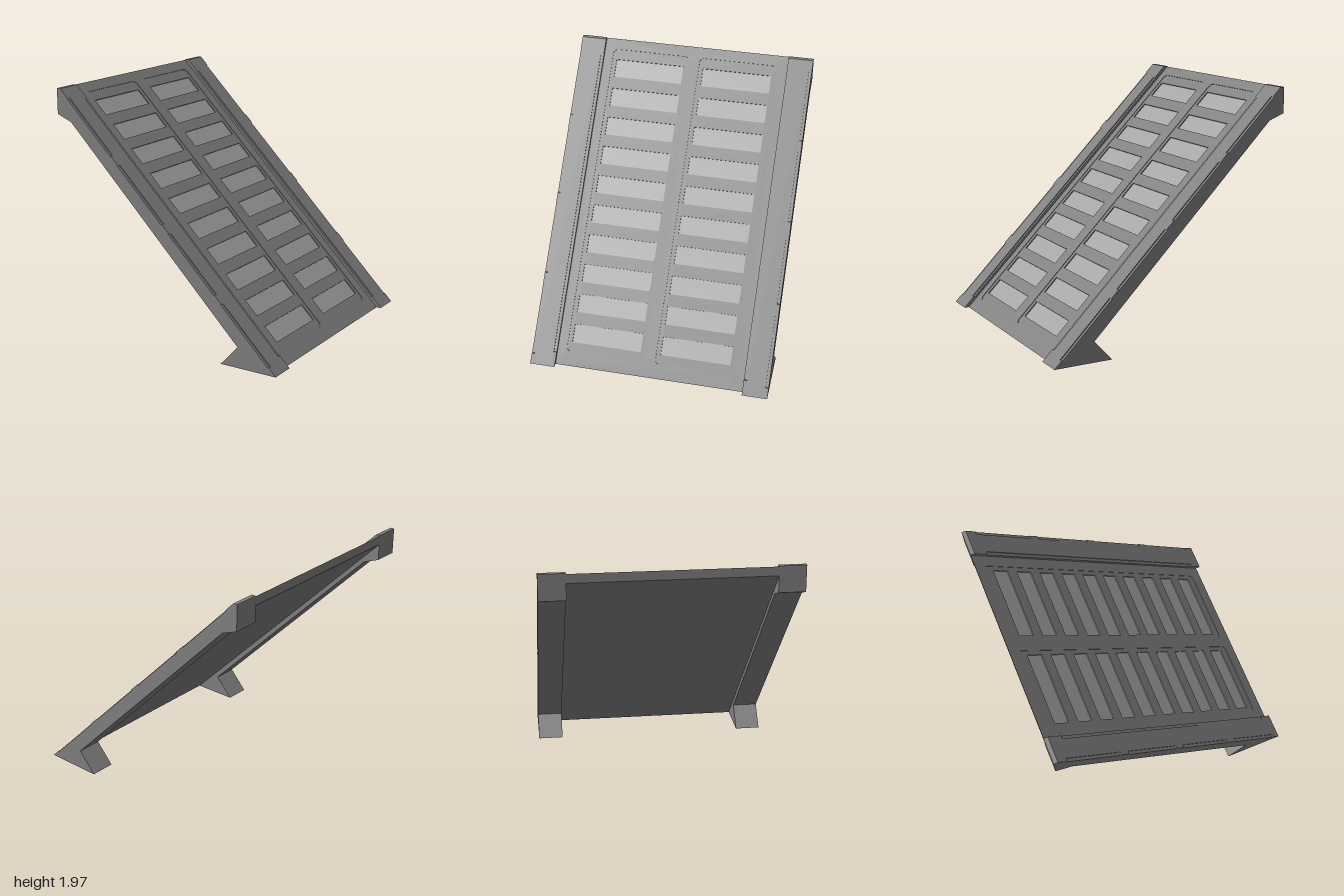
import * as THREE from 'three';

const TOP = 1.965;       // height of the ramp
const EDGE = 0.98;       // outer face of the side beams
const INNER = 0.775;     // joint between beams and deck

const bodyMaterial = new THREE.MeshStandardMaterial({ color: 0x808080, flatShading: true });
const slatMaterial = new THREE.MeshStandardMaterial({ color: 0xa4a4a4, flatShading: true });

// Rectangle, optionally with rounded corners
function rect(x0, y0, x1, y1, r = 0) {
  const shape = new THREE.Shape();
  if (r === 0) {
    return shape.moveTo(x0, y0).lineTo(x1, y0).lineTo(x1, y1).lineTo(x0, y1).closePath();
  }
  const h = Math.PI / 2;
  shape.moveTo(x0 + r, y0);
  shape.absarc(x1 - r, y0 + r, r, -h, 0);
  shape.absarc(x1 - r, y1 - r, r, 0, h);
  shape.absarc(x0 + r, y1 - r, r, h, 2 * h);
  shape.absarc(x0 + r, y0 + r, r, 2 * h, 3 * h);
  return shape.closePath();
}

// Side profile in x/y, extruded from z0 to z1
function profile(name, points, z0, z1) {
  const shape = new THREE.Shape(points.map(([x, y]) => new THREE.Vector2(x, y)));
  const geo = new THREE.ExtrudeGeometry(shape, { depth: z1 - z0, bevelEnabled: false });
  geo.translate(0, 0, z0);
  const mesh = new THREE.Mesh(geo, bodyMaterial);
  mesh.name = name;
  return mesh;
}

// Deck layers are drawn flat (slope distance by width), then laid on the 45 degree slope
const LENGTH = 1.96 * Math.SQRT2;
const slope = new THREE.Matrix4().makeBasis(
  new THREE.Vector3(1, -1, 0).normalize(),
  new THREE.Vector3(0, 0, -1),
  new THREE.Vector3(1, 1, 0).normalize()
).setPosition(-1, 1.96, 0);

function deckLayer(name, shapes, low, high, material) {
  const geo = new THREE.ExtrudeGeometry(shapes, { depth: high - low, bevelEnabled: false, curveSegments: 6 });
  geo.translate(0, 0, low);
  geo.applyMatrix4(slope);
  // slide the end corners along the slope: level at the floor, upright at the top
  const p = geo.attributes.position;
  for (let i = 0; i < p.count; i++) {
    const x = p.getX(i), y = p.getY(i);
    if (y < 0) p.setXY(i, x + y, 0);
    else if (x < -1) p.setXY(i, -1, y + x + 1);
  }
  geo.computeVertexNormals();
  const mesh = new THREE.Mesh(geo, material);
  mesh.name = name;
  return mesh;
}

function sheet(holes) {
  const shape = rect(0, -INNER, LENGTH, INNER);
  shape.holes.push(...holes);
  return shape;
}

function createDeck() {
  const deck = new THREE.Group();
  deck.name = 'deck';
  const fields = [], slats = [];
  // the two tread fields sit slightly off centre
  for (const centre of [-0.377, 0.363]) {
    fields.push(rect(0.09, centre - 0.323, 2.655, centre + 0.323, 0.04));
    for (let i = 0; i < 10; i++) {
      const s = 0.177 + i * 0.25;
      slats.push(rect(s, centre - 0.287, s + 0.15, centre + 0.287));
    }
  }
  deck.add(
    deckLayer('deckBase', sheet([]), -0.05, -0.02, bodyMaterial),
    deckLayer('slats', slats, -0.02, -0.012, slatMaterial),
    deckLayer('slottedPanel', sheet(slats), -0.02, -0.004, bodyMaterial),
    deckLayer('deckFrame', sheet(fields), -0.004, 0, bodyMaterial)
  );
  return deck;
}

function createBeam(side) {
  const beam = new THREE.Group();
  beam.name = side > 0 ? 'leftBeam' : 'rightBeam';
  const add = (name, pts, a, b) =>
    beam.add(side > 0 ? profile(name, pts, a, b) : profile(name, pts, -b, -a));

  // beam with its triangular foot
  add('beamBody', [
    [-1, TOP], [-0.977, TOP], [0.988, 0], [0.515, 0],
    [0.665, 0.165], [-0.87, 1.71], [-1, 1.76]
  ], INNER, EDGE);

  // cover lying on the slope between two heights
  const strip = (y0, y1) => [
    [0.988 - y0, y0], [0.998 - y0, y0], [0.998 - y1, y1], [0.988 - y1, y1]
  ];
  add('beamCover', strip(0, TOP), INNER + 0.025, EDGE - 0.025);

  // lands between the four shallow notches along the outer edge
  for (const [y0, y1] of [[0, 0.06], [0.474, 0.535], [0.947, 1.01], [1.42, 1.485], [1.895, TOP]]) {
    add('outerLand', strip(y0, y1), EDGE - 0.025, EDGE);
  }
  // lands at both ends of the long inner notch
  for (const [y0, y1] of [[0, 0.085], [1.87, TOP]]) {
    add('innerLand', strip(y0, y1), INNER, INNER + 0.025);
  }
  return beam;
}

export function createModel() {
  const model = new THREE.Group();
  model.name = 'ramp';
  model.add(createDeck(), createBeam(1), createBeam(-1));
  return model;
}
